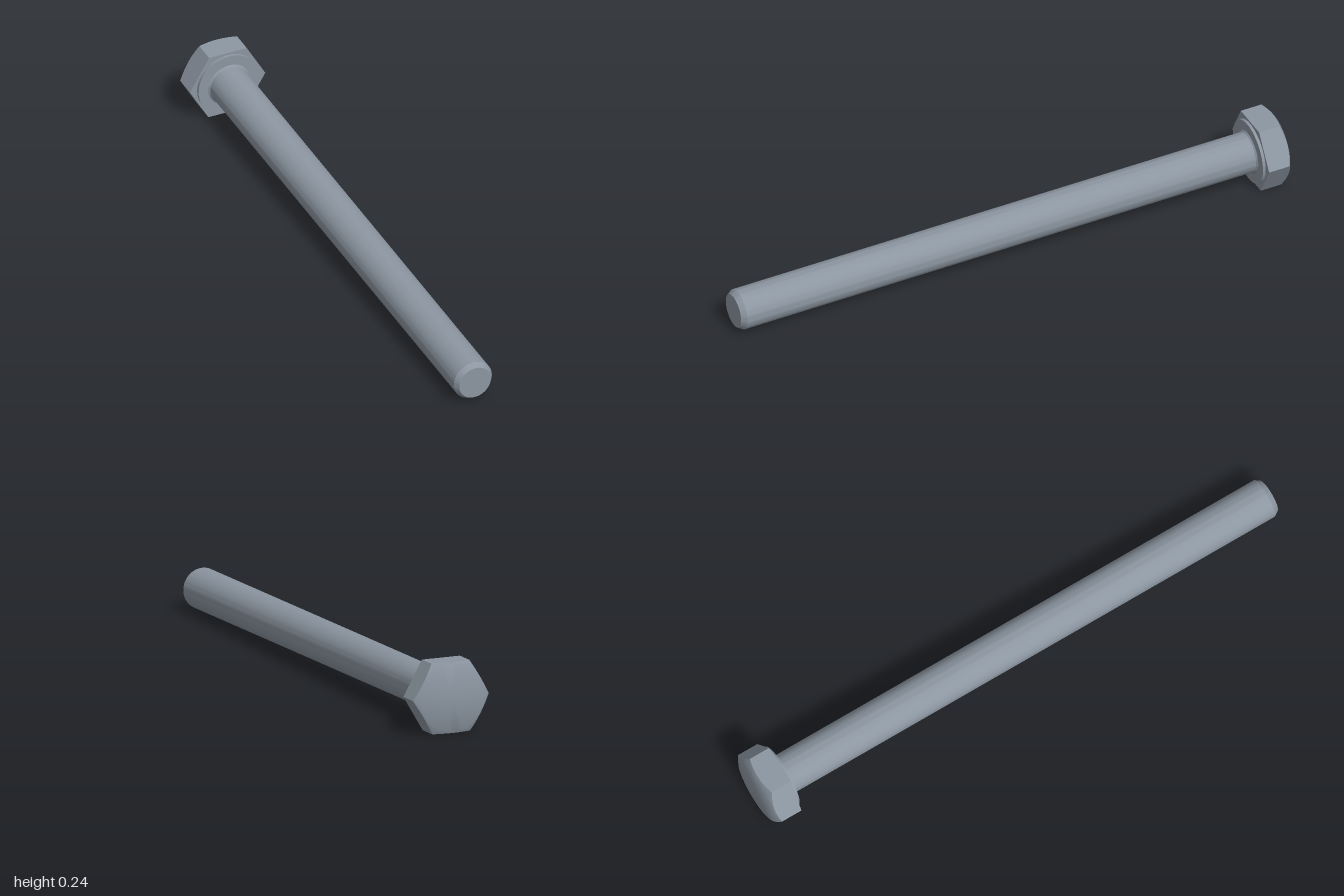
import * as THREE from 'three';
import { toCreasedNormals } from 'three/addons/utils/BufferGeometryUtils.js';

const APOTHEM = 0.12;   // half the width across the head flats
const FACE_R = 0.114;   // flat circle on the outer face of the head
const HEAD_T = 0.09;
const WASHER_T = 0.01;
const SHAFT_R = 0.07;

// Lathe along the local +x axis
function turned(points, segments) {
  const pts = points.map(([r, h]) => new THREE.Vector2(r, h));
  return new THREE.LatheGeometry(pts, segments);
}

function finish(geometry, crease) {
  geometry.rotateZ(-Math.PI / 2);
  return toCreasedNormals(geometry, crease);
}

// Hexagonal head: a turned disc whose rim is pushed out to the hexagon,
// with a conical chamfer that bites deeper at the corners
function headGeometry() {
  const rim = 0.2;
  const g = turned([[0, 0], [FACE_R, 0], [rim, 0.005], [rim, HEAD_T], [0, HEAD_T]], 60);
  const p = g.attributes.position;
  const sector = Math.PI / 3;
  for (let i = 0; i < p.count; i++) {
    const x = p.getX(i), y = p.getY(i), z = p.getZ(i);
    if (Math.hypot(x, z) < rim - 0.01) continue;
    const phi = Math.atan2(x, z) + Math.PI * 2;
    const r = APOTHEM / Math.cos((phi + 1e-6) % sector - sector / 2);
    const h = y < HEAD_T / 2 ? (r - FACE_R) * 0.577 : HEAD_T;
    p.setXYZ(i, r * Math.sin(phi), h, r * Math.cos(phi));
  }
  return finish(g, 0.6);
}

export function createModel() {
  const steel = new THREE.MeshStandardMaterial({ color: 0x8c96a1 });
  steel.name = 'steel grey';
  const bolt = new THREE.Group();
  bolt.name = 'bolt';
  const add = (name, geometry) => {
    const mesh = new THREE.Mesh(geometry, steel);
    mesh.name = name;
    bolt.add(mesh);
  };

  // Ends of the bolt's axis
  const start = new THREE.Vector3(-0.975, 0.122, -0.174);
  const end = new THREE.Vector3(0.987, 0.073, 0.241);
  const length = start.distanceTo(end);
  const base = HEAD_T + WASHER_T;

  add('head', headGeometry());
  add('washerFace', finish(turned(
    [[0.112, HEAD_T - 0.002], [0.112, base], [0.06, base]], 64), 0.5));

  // Shaft with a small fillet at the head and a chamfered tip
  add('shaft', finish(turned([
    [0.077, base], [0.073, base + 0.002], [SHAFT_R + 0.0005, base + 0.005], [SHAFT_R, base + 0.009],
    [SHAFT_R, length - 0.018], [0.058, length], [0, length]], 64), 0.55));

  // Lay the bolt along its slanted axis, head flats kept up and down
  const dir = end.clone().sub(start).normalize();
  const side = dir.clone().cross(new THREE.Vector3(0, 1, 0)).normalize();
  const up = side.clone().cross(dir);
  bolt.quaternion.setFromRotationMatrix(new THREE.Matrix4().makeBasis(dir, up, side));
  bolt.position.copy(start);

  const model = new THREE.Group();
  model.name = 'hexBolt';
  model.add(bolt);
  return model;
}
